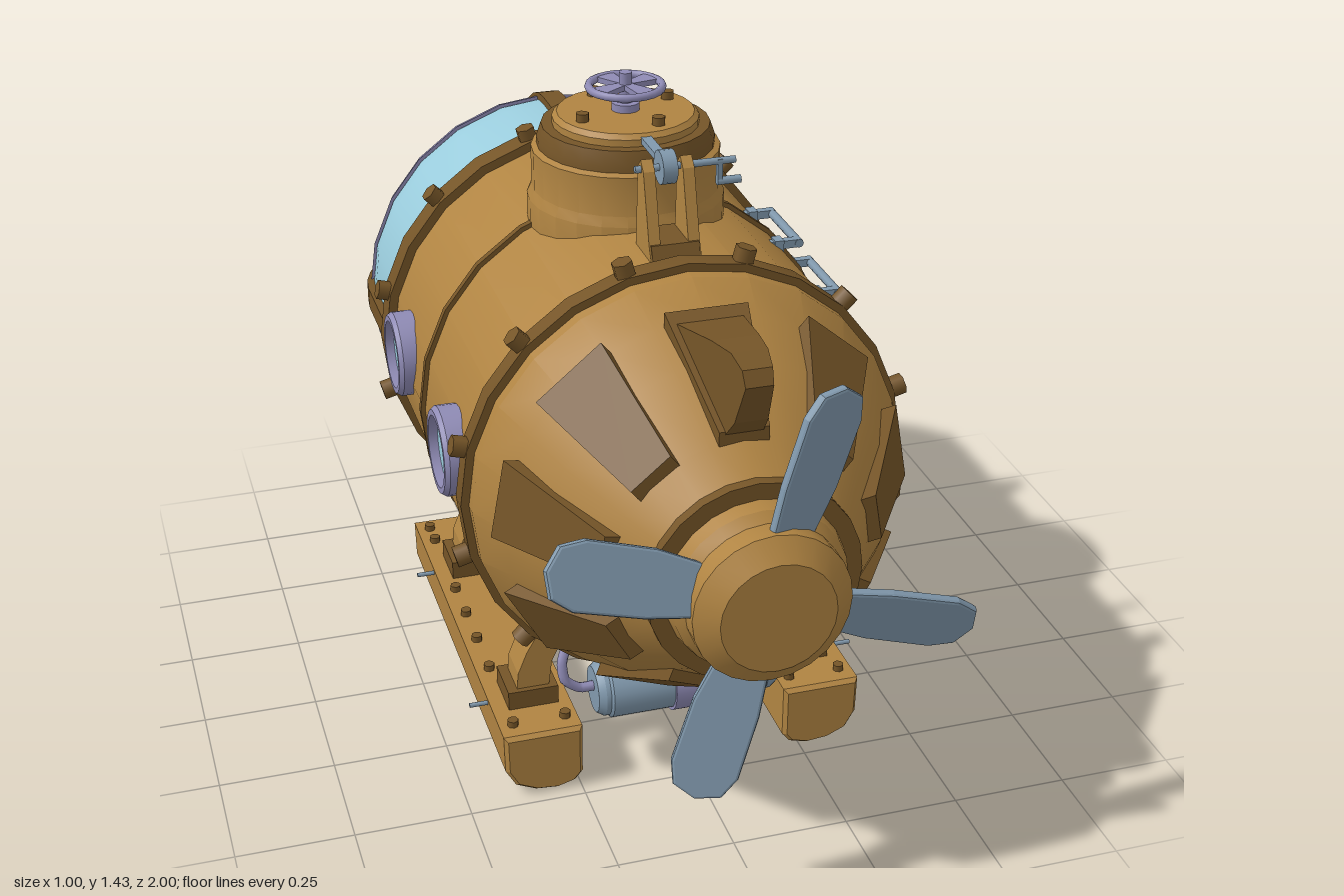
import * as THREE from 'three';
import { toCreasedNormals } from 'three/addons/utils/BufferGeometryUtils.js';

const mat = (color) => new THREE.MeshStandardMaterial({ color, side: THREE.DoubleSide });
const CX = -0.012, CY = 0.71, R = 0.455;

export function createModel() {
  const brass = mat(0xb08442), dark = mat(0x755528), steel = mat(0x8199ad), violet = mat(0x8f8bb5), glass = mat(0x9accdc);
  const root = new THREE.Group();
  const V = (x, y, z) => new THREE.Vector3(x, y, z);

  const add = (parent, name, geo, m, x = 0, y = 0, z = 0) => {
    const mesh = new THREE.Mesh(geo, m);
    mesh.name = name;
    mesh.position.set(x, y, z);
    parent.add(mesh);
    return mesh;
  };
  const group = (name, parent = root, x = 0, y = 0, z = 0) => {
    const g = new THREE.Group();
    g.name = name;
    g.position.set(x, y, z);
    parent.add(g);
    return g;
  };
  // Turned part: pairs of [radius, height], heights ascending
  const turned = (pts, seg = 24) =>
    toCreasedNormals(new THREE.LatheGeometry(pts.map(([r, h]) => new THREE.Vector2(r, h)), seg), 0.5);
  const alongZ = (pts, seg) => turned(pts, seg).rotateX(Math.PI / 2);
  const box = (w, h, d) => new THREE.BoxGeometry(w, h, d);
  const cyl = (r, h, seg = 12) => new THREE.CylinderGeometry(r, r, h, seg);
  const tube = (pts, r, seg = 16) =>
    new THREE.TubeGeometry(new THREE.CatmullRomCurve3(pts, false, 'catmullrom', 0.3), seg, r, 8);
  const outline = (pts) => new THREE.Shape(pts.map(([x, y]) => new THREE.Vector2(x, y)));
  const slab = (pts, depth) =>
    new THREE.ExtrudeGeometry(outline(pts), { depth, bevelEnabled: false }).translate(0, 0, -depth / 2);
  // Side profile of [z, y] pairs, given a width along x
  const sideSlab = (pts, width) => slab(pts, width).rotateY(-Math.PI / 2);

  // Pressure hull, everything centred on its long axis
  const hull = group('hull', root, CX, CY, 0);
  add(hull, 'hullShell', alongZ([[R, -0.4], [R, 0.46], [0.41, 0.55], [0.36, 0.65], [0.265, 0.78], [0.205, 0.86]]), brass);
  const ring = (name, z, w, r, m) => add(hull, name, alongZ([[r - 0.05, -w / 2], [r, -w / 2], [r, w / 2], [r - 0.05, w / 2]]), m, 0, 0, z);
  ring('rearFlange', -0.365, 0.06, 0.475, dark);
  ring('frontFlange', 0.41, 0.045, 0.472, dark);
  ring('seam', 0, 0.016, 0.465, dark);
  ring('tailCollar', 0.855, 0.03, 0.215, dark);
  for (const z of [-0.365, 0.41])
    for (let i = 0; i < 12; i++) {
      const a = (i + 0.5) * Math.PI / 6;
      const b = add(hull, 'flangeBolt', cyl(0.022, 0.04, 6), dark, Math.cos(a) * 0.48, Math.sin(a) * 0.48, z);
      b.rotation.z = a - Math.PI / 2;
    }

  // Raised tapered panels around the cone; the top one is replaced by the fin
  for (let i = 0; i < 9; i++) {
    const g = box(1, 1, 1), p = g.attributes.position, lerp = THREE.MathUtils.lerp;
    for (let k = 0; k < p.count; k++) {
      const t = p.getZ(k) + 0.5;
      p.setXYZ(k, p.getX(k) * lerp(0.17, 0.1, t), lerp(0.43, 0.285, t) + (p.getY(k) - 0.5) * 0.06, lerp(0.55, 0.785, t));
    }
    g.computeVertexNormals();
    add(hull, 'conePanel', g, dark).rotation.z = i * Math.PI * 2 / 9;
  }
  const fin = sideSlab([[0.5, 0.39], [0.55, 0.41], [0.72, 0.445], [0.8, 0.455], [0.845, 0.44], [0.86, 0.41], [0.82, 0.32], [0.76, 0.25], [0.55, 0.36]], 1);
  const fp = fin.attributes.position;
  for (let k = 0; k < fp.count; k++) fp.setX(k, fp.getX(k) * (0.15 - (fp.getZ(k) - 0.52) * 0.28));
  fin.computeVertexNormals();
  add(hull, 'topFin', fin, dark);

  // Propeller
  add(hull, 'propellerHub', alongZ([[0.185, 0.85], [0.175, 0.9], [0.158, 0.92], [0.158, 0.965], [0.115, 1], [0, 1]]), brass);
  const bladeShape = outline([[-0.04, 0.1], [0.04, 0.1], [0.062, 0.24], [0.062, 0.38], [0.045, 0.425], [0, 0.442], [-0.045, 0.425], [-0.062, 0.38], [-0.058, 0.24]]);
  const bladeGeo = new THREE.ExtrudeGeometry(bladeShape, { depth: 0.008, bevelThickness: 0.006, bevelSize: 0.006, bevelSegments: 2 });
  bladeGeo.translate(0, 0, -0.004).rotateY(0.35);
  for (let i = 0; i < 4; i++)
    add(hull, 'propellerBlade', bladeGeo, steel, 0, 0, 0.93).rotation.z = -0.31 + i * Math.PI / 2;

  // Glass dome with its frame
  const dome = (o) => {
    const pts = [];
    for (let i = 0; i <= 10; i++) {
      const a = i * Math.PI / 20;
      pts.push([(R - 0.005 + o) * Math.sin(a), -0.6 - (0.305 + o) * Math.cos(a)]);
    }
    return [...pts, [R - 0.005 + o, -0.37]];
  };
  add(hull, 'glassDome', alongZ(dome(0), 24), glass);
  const half = (o) => [...dome(o).reverse(), ...dome(o).slice(1).map(([r, z]) => [-r, z])];
  const band = slab([...half(0.014), ...half(-0.02).reverse()], 0.05).rotateX(Math.PI / 2);
  add(hull, 'domeFrameHorizontal', band, dark);
  add(hull, 'domeFrameVertical', band, dark).rotation.z = Math.PI / 2;
  add(hull, 'domeHoop', alongZ([[0.41, -0.685], [0.44, -0.685], [0.45, -0.655], [0.42, -0.655]]), violet);
  add(hull, 'domeSpike', new THREE.ConeGeometry(0.042, 0.13, 4).rotateX(-Math.PI / 2), dark, 0, 0, -0.935);

  // Portholes on both sides
  for (const s of [-1, 1])
    for (const z of [-0.205, 0.265]) {
      const port = group('porthole', hull, s * 0.425, 0.04, z);
      port.rotation.z = -s * Math.PI / 2;
      add(port, 'portholeRim', turned([[0.076, 0], [0.095, 0], [0.095, 0.05], [0.088, 0.06], [0.076, 0.06], [0.076, 0]]), violet);
      add(port, 'portholeGlass', cyl(0.078, 0.04, 24), glass, 0, 0.02);
    }

  // Ladder rungs up the left side
  for (const y of [0.33, 0.2, 0.03, -0.13, -0.285]) {
    const x = Math.sqrt(R * R - y * y);
    const rung = group('ladderRung', hull, x, y, 0);
    add(rung, 'rungBar', cyl(0.01, 0.19, 8).rotateX(Math.PI / 2), steel, 0.05);
    for (const z of [-0.085, 0.085]) {
      add(rung, 'rungArm', box(0.08, 0.018, 0.018), steel, 0.015, 0, z);
      add(rung, 'rungFoot', box(0.02, 0.026, 0.03), steel, 0.003, 0, z);
    }
  }

  // Hatch tower
  const tower = group('hatchTower', root, CX, 0, 0);
  add(tower, 'towerWall', turned([[0.21, 1.08], [0.21, 1.17], [0.2, 1.19], [0.2, 1.275], [0.18, 1.285]]), brass);
  add(tower, 'towerRim', turned([[0.188, 1.275], [0.188, 1.295], [0.178, 1.325], [0, 1.325]]), dark);
  add(tower, 'hatchLid', turned([[0.155, 1.32], [0.155, 1.34], [0.145, 1.35], [0, 1.352]]), brass);
  for (let i = 0; i < 4; i++) {
    const a = 0.37 + i * Math.PI / 2;
    add(tower, 'lidBolt', cyl(0.014, 0.025, 8), dark, Math.cos(a) * 0.112, 1.355, -Math.sin(a) * 0.112);
  }
  add(tower, 'wheelPost', cyl(0.014, 0.1), violet, 0, 1.383);
  add(tower, 'wheelBase', cyl(0.03, 0.02), violet, 0, 1.358);
  add(tower, 'handwheelRim', new THREE.TorusGeometry(0.077, 0.009, 8, 24).rotateX(Math.PI / 2), violet, 0, 1.402);
  for (let i = 0; i < 4; i++) {
    const spoke = slab([[-0.008, 0], [0.008, 0], [0.024, 0.076], [-0.024, 0.076]], 0.012).rotateX(Math.PI / 2);
    add(tower, 'handwheelSpoke', spoke, violet, 0, 1.402).rotation.y = i * Math.PI / 2 + 0.4;
  }
  add(tower, 'rearFairing', sideSlab([[-0.15, 1.245], [-0.19, 1.24], [-0.31, 1.18], [-0.31, 1.1], [-0.15, 1.1]], 0.19), brass);

  // Hatch winch ahead of the tower
  const winch = group('hatchWinch', tower);
  for (const x of [-0.041, 0.041])
    add(winch, 'winchCheek', sideSlab([[0.375, 1.13], [0.345, 1.19], [0.305, 1.33], [0.285, 1.35], [0.265, 1.33], [0.253, 1.13]], 0.024).translate(x, 0, 0), brass);
  add(winch, 'winchBase', sideSlab([[0.375, 1.13], [0.35, 1.19], [0.25, 1.19], [0.25, 1.13]], 0.1), dark);
  add(winch, 'winchAxle', cyl(0.008, 0.21, 8).rotateZ(Math.PI / 2), steel, 0.04, 1.33, 0.285);
  add(winch, 'winchDrum', cyl(0.035, 0.03, 16).rotateZ(Math.PI / 2), steel, 0, 1.33, 0.285);
  add(winch, 'winchArm', box(0.022, 0.014, 0.15), steel, 0, 1.337, 0.21);
  add(winch, 'crankArm', box(0.01, 0.05, 0.014), steel, 0.112, 1.31, 0.285);
  add(winch, 'crankHandle', cyl(0.009, 0.05, 8).rotateZ(Math.PI / 2), steel, 0.132, 1.287, 0.285);

  // Skids, legs and their fittings; the left side is the mirrored copy
  for (const s of [-1, 1]) {
    const side = group(s > 0 ? 'leftLandingGear' : 'rightLandingGear', root, CX - 0.005, 0, 0);
    const X = (pts) => pts.map(([x, y]) => [s * x, y]);
    const skid = new THREE.ExtrudeGeometry(
      outline(X([[0.236, 0.142], [0.236, 0.035], [0.25, 0.018], [0.285, 0.008], [0.33, 0.012], [0.37, 0.03], [0.39, 0.065], [0.392, 0.142]])),
      { depth: 0.93, bevelThickness: 0.01, bevelSize: 0.008, bevelSegments: 1 }).translate(0, 0, -0.47);
    add(side, 'skid', skid, brass);
    for (const z of [0.31, -0.245]) {
      add(side, 'legFoot', box(0.11, 0.045, 0.11), dark, s * 0.31, 0.17, z);
      add(side, 'leg', slab(X([[0.275, 0.17], [0.345, 0.17], [0.34, 0.23], [0.32, 0.28], [0.285, 0.34], [0.24, 0.4], [0.19, 0.37], [0.235, 0.31], [0.265, 0.25]]), 0.085), brass, 0, 0, z);
      const collar = add(side, 'legCollar', box(0.1, 0.035, 0.11), dark, s * 0.265, 0.34, z);
      collar.rotation.z = s * 0.65;
      add(side, 'skidPin', cyl(0.005, 0.05, 6).rotateZ(Math.PI / 2), steel, s * 0.415, 0.14, z);
    }
    for (const z of [0.42, 0.2, 0.08, -0.03, -0.14, -0.37, -0.43])
      for (const x of [0.255, 0.37])
        add(side, 'skidBolt', cyl(0.012, 0.016, 8), dark, s * x, 0.156, z);
  }

  // Ballast tank slung under the nose
  const tank = group('ballastTank', root, CX, 0.215, 0.43);
  const barrel = turned([[0, -0.2], [0.05, -0.2], [0.06, -0.185], [0.06, -0.175], [0.066, -0.17], [0.066, 0.17], [0.06, 0.175], [0.06, 0.185], [0.05, 0.2], [0, 0.2]]);
  add(tank, 'tankBarrel', barrel.rotateZ(-Math.PI / 2), steel);
  add(tank, 'tankStrap', cyl(0.073, 0.07, 24).rotateZ(Math.PI / 2), violet);
  add(tank, 'tankHanger', box(0.06, 0.12, 0.03), violet, 0, 0.08, -0.02);
  for (const s of [-1, 1])
    add(tank, 'tankPipe', tube([V(s * 0.19, 0.01, 0), V(s * 0.23, 0.01, 0), V(s * 0.262, 0.035, 0), V(s * 0.265, 0.075, -0.01), V(s * 0.24, 0.13, -0.03)], 0.011), violet);

  return root;
}
